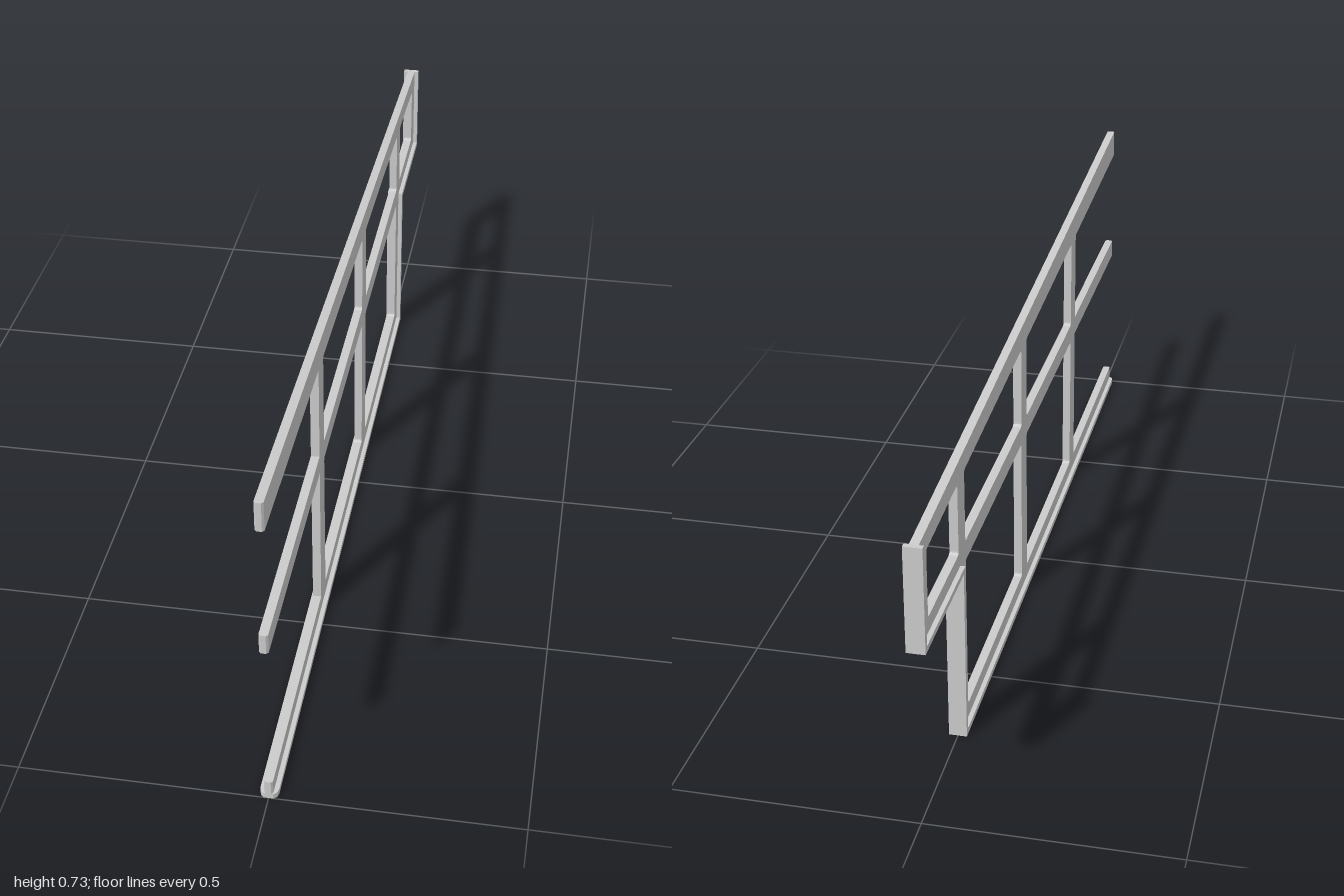
import * as THREE from 'three';

const toVectors = (pts) => pts.map(([a, b]) => new THREE.Vector2(a, b));

// Closed path through the points with every corner filleted by r.
function rounded(path, pts, r) {
  const v = toVectors(pts);
  v.forEach((p, i) => {
    const prev = v[(i + v.length - 1) % v.length];
    const next = v[(i + 1) % v.length];
    const a = p.clone().add(prev.clone().sub(p).setLength(r));
    const b = p.clone().add(next.clone().sub(p).setLength(r));
    if (i === 0) path.moveTo(a.x, a.y);
    else path.lineTo(a.x, a.y);
    path.quadraticCurveTo(p.x, p.y, b.x, b.y);
  });
  path.closePath();
  return path;
}

// Extrude a side profile (z, y) to a width centred on x = 0.
function sideExtrude(shape, width, name, material) {
  const geo = new THREE.ExtrudeGeometry(shape, { depth: width, bevelEnabled: false, curveSegments: 4 });
  geo.translate(0, 0, -width / 2);
  geo.rotateY(-Math.PI / 2);
  const mesh = new THREE.Mesh(geo, material);
  mesh.name = name;
  return mesh;
}

// Extrude a plan profile (x, z) between two heights.
function planExtrude(pts, y0, y1, name, material) {
  const geo = new THREE.ExtrudeGeometry(new THREE.Shape(toVectors(pts)), { depth: y1 - y0, bevelEnabled: false });
  geo.rotateX(Math.PI / 2);
  geo.translate(0, y1, 0);
  const mesh = new THREE.Mesh(geo, material);
  mesh.name = name;
  return mesh;
}

export function createModel() {
  const group = new THREE.Group();
  group.name = 'railingPanel';
  const material = new THREE.MeshStandardMaterial({ color: 0xcccccc, flatShading: true });

  // Underside of the sloping top rail
  const under = (z) => 0.663 - (1 - z) * 0.0531;
  const midLow = 0.377, midHigh = 0.42, baseHigh = 0.043, tip = 0.996;
  const posts = [[0.46, 0.407], [-0.103, -0.156], [-0.664, -0.717]];

  // Web: open-ended rails at the front, stepped outline at the back
  const web = new THREE.Shape(toVectors([
    [tip, 0.002], [-0.715, 0.002], [-0.715, 0.379], [-0.998, 0.379], [-0.998, 0.595],
    [tip, 0.726], [tip, under(tip)], [posts[0][0], under(posts[0][0])],
    [posts[0][0], midHigh], [tip, midHigh], [tip, midLow], [posts[0][0], midLow],
    [posts[0][0], baseHigh], [tip, baseHigh],
  ]));

  // Window openings between neighbouring posts, above and below the middle rail
  const opening = (z0, z1, y0, y1, y2) =>
    web.holes.push(rounded(new THREE.Path(), [[z0, y0], [z0, y1], [z1, y2], [z1, y0]], 0.008));
  for (let i = 0; i < 2; i++) {
    const z0 = posts[i][1], z1 = posts[i + 1][0];
    opening(z0, z1, baseHigh, midLow, midLow);
    opening(z0, z1, midHigh, under(z0), under(z1));
  }
  opening(-0.717, -0.943, midHigh, under(-0.717), under(-0.943));
  group.add(sideExtrude(web, 0.018, 'railsAndPosts', material));

  // Chamfered front tips of the three rails
  const tipPlan = [[-0.009, tip], [0.009, tip], [0.005, 1], [-0.005, 1]];
  [['baseRailTip', 0.002, baseHigh], ['middleRailTip', midLow, midHigh], ['topRailTip', under(tip), 0.726]]
    .forEach(([name, y0, y1]) => group.add(planExtrude(tipPlan, y0, y1, name, material)));

  // Wider base flange with chamfered front corners
  group.add(planExtrude([
    [-0.0185, -0.717], [0.0185, -0.717], [0.0185, 0.985], [0.0165, 0.994], [0.01, 1],
    [-0.01, 1], [-0.0165, 0.994], [-0.0185, 0.985],
  ], 0, 0.012, 'baseFlange', material));

  // Flange following the stepped back edge
  const flange = new THREE.Shape(toVectors([
    [-0.717, 0.012], [-0.717, 0.377], [-1, 0.377], [-1, 0.596],
    [-0.989, 0.596], [-0.989, 0.389], [-0.705, 0.389], [-0.705, 0.012],
  ]));
  group.add(sideExtrude(flange, 0.037, 'backFlange', material));

  return group;
}
